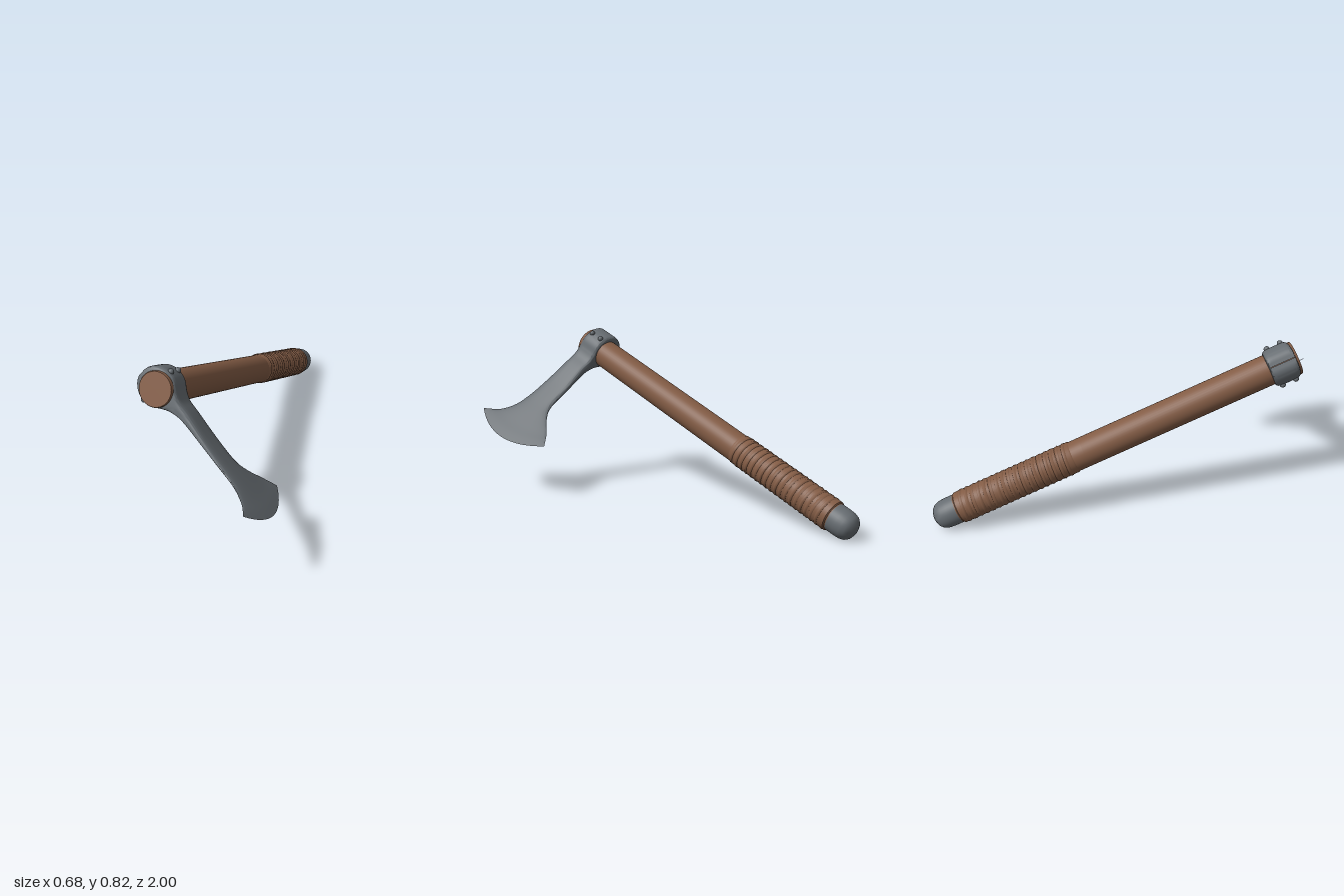
import * as THREE from 'three';
import { toCreasedNormals } from 'three/addons/utils/BufferGeometryUtils.js';

const steel = new THREE.MeshStandardMaterial({ color: 0x666c71 });
steel.name = 'steel';
const wood = new THREE.MeshStandardMaterial({ color: 0x835c45 });
wood.name = 'wood brown';

function mesh(name, geometry, material) {
  const m = new THREE.Mesh(geometry, material);
  m.name = name;
  return m;
}

// Turned part along local y; points are [radius, y] from bottom to top
function turned(points, crease = 0.6) {
  const g = new THREE.LatheGeometry(points.map(p => new THREE.Vector2(p[0], p[1])), 40);
  return toCreasedNormals(g, crease);
}

// Axe head: cross-sections run from behind the eye, down the neck, to the cutting edge.
// [back x, back y, front x, front y, outward bow, half thickness, sideways offset, boxiness]
const SECTIONS = [
  [-0.098, -0.06, -0.098, 0.06, 0, 0.001, 0, 0.3],
  [-0.096, -0.063, -0.096, 0.063, 0, 0.035, 0, 0.3],
  [-0.075, -0.065, -0.075, 0.065, 0, 0.065, 0, 0.3],
  [-0.04, -0.065, -0.04, 0.065, 0, 0.086, 0, 0.3],
  [0, -0.065, 0, 0.065, 0, 0.09, 0, 0.3],
  [0.035, -0.065, 0.035, 0.065, 0, 0.08, 0, 0.3],
  [0.07, -0.065, 0.07, 0.065, 0, 0.054, 0.002, 0.35],
  [0.112, -0.065, 0.112, 0.063, 0, 0.033, 0.005, 0.45],
  [0.174, -0.066, 0.174, 0.061, 0, 0.024, 0.009, 0.55],
  [0.3, -0.078, 0.3, 0.064, 0, 0.016, 0, 0.65],
  [0.426, -0.088, 0.426, 0.068, 0.005, 0.013, -0.006, 0.75],
  [0.489, -0.128, 0.53, 0.082, 0.015, 0.01, -0.006, 0.8],
  [0.55, -0.2, 0.605, 0.125, 0.035, 0.007, -0.005, 0.9],
  [0.585, -0.233, 0.64, 0.168, 0.06, 0.004, -0.002, 1],
  [0.614, -0.258, 0.664, 0.205, 0.083, 0.0008, 0, 1],
];

function headGeometry() {
  const rail = pick => new THREE.CatmullRomCurve3(
    SECTIONS.map(s => new THREE.Vector3(...pick(s))), false, 'catmullrom', 0.5);
  const back = rail(s => [s[0], s[1], s[6]]);
  const front = rail(s => [s[2], s[3], s[4]]);
  const girth = rail(s => [s[5], s[7], 0]);
  const rows = (SECTIONS.length - 1) * 4, cols = 48;
  const pos = [], index = [];
  const soft = (v, p) => Math.sign(v) * Math.abs(v) ** p;
  for (let i = 0; i <= rows; i++) {
    const k = i / rows;
    const b = back.getPoint(k), f = front.getPoint(k), g = girth.getPoint(k);
    for (let j = 0; j < cols; j++) {
      const a = (j / cols) * Math.PI * 2;
      const c = soft(Math.cos(a), g.y), v = (c + 1) / 2;
      pos.push(
        b.x + (f.x - b.x) * v + f.z * (1 - c * c),
        b.y + (f.y - b.y) * v,
        Math.max(g.x, 0.0005) * soft(Math.sin(a), g.y) - b.z);
      if (i < rows) {
        const p = i * cols + j, q = i * cols + (j + 1) % cols;
        index.push(p, q, p + cols, q, q + cols, p + cols);
      }
    }
  }
  const geo = new THREE.BufferGeometry();
  geo.setAttribute('position', new THREE.Float32BufferAttribute(pos, 3));
  geo.setIndex(index);
  return toCreasedNormals(geo, 0.7);
}

// Cord wound around the grip
class Winding extends THREE.Curve {
  getPoint(t, target = new THREE.Vector3()) {
    const a = t * 18 * Math.PI * 2, r = 0.063;
    return target.set(r * Math.cos(a), -1.075 - 0.562 * t, -r * Math.sin(a));
  }
}

export function createModel() {
  const axe = new THREE.Group();
  axe.name = 'axe';

  // Shaft and its flared end showing through the eye
  axe.add(mesh('handle', turned([[0, -1.66], [0.07, -1.66], [0.073, -1], [0.073, 0.05]]), wood));
  axe.add(mesh('handleEnd', turned([
    [0.073, 0.03], [0.08, 0.05], [0.08, 0.07], [0.077, 0.076], [0, 0.076]]), wood));

  // Wrapped grip
  axe.add(mesh('gripSleeve', turned([
    [0.07, -1.655], [0.076, -1.65], [0.076, -1.063], [0.072, -1.055]]), wood));
  axe.add(mesh('gripWrap', new THREE.TubeGeometry(new Winding(), 576, 0.0165, 8), wood));

  // Rounded pommel
  axe.add(mesh('pommel', turned([
    [0, -1.781], [0.025, -1.778], [0.047, -1.768], [0.061, -1.752], [0.068, -1.73],
    [0.07, -1.7], [0.07, -1.64]], 1), steel));

  axe.add(mesh('head', headGeometry(), steel));

  // Two rivets on each cheek of the eye
  for (const side of [-1, 1]) {
    for (const y of [-0.033, 0.033]) {
      const rivet = mesh('rivet', new THREE.SphereGeometry(0.014, 16, 12), steel);
      rivet.position.set(-0.016, y, side * 0.09);
      axe.add(rivet);
    }
  }

  // Lean the shaft back and roll the blade down to the left
  const shaft = new THREE.Vector3(0, 0.373, 0.928).normalize();
  const up = new THREE.Vector3(0, shaft.z, -shaft.y);
  const roll = THREE.MathUtils.degToRad(37.4);
  const blade = new THREE.Vector3(Math.cos(roll), 0, 0).addScaledVector(up, -Math.sin(roll));
  const basis = new THREE.Matrix4().makeBasis(blade, shaft, blade.clone().cross(shaft));
  axe.quaternion.setFromRotationMatrix(basis);
  axe.position.set(-0.237, 0.717, 0.66);

  const model = new THREE.Group();
  model.name = 'model';
  model.add(axe);
  return model;
}
